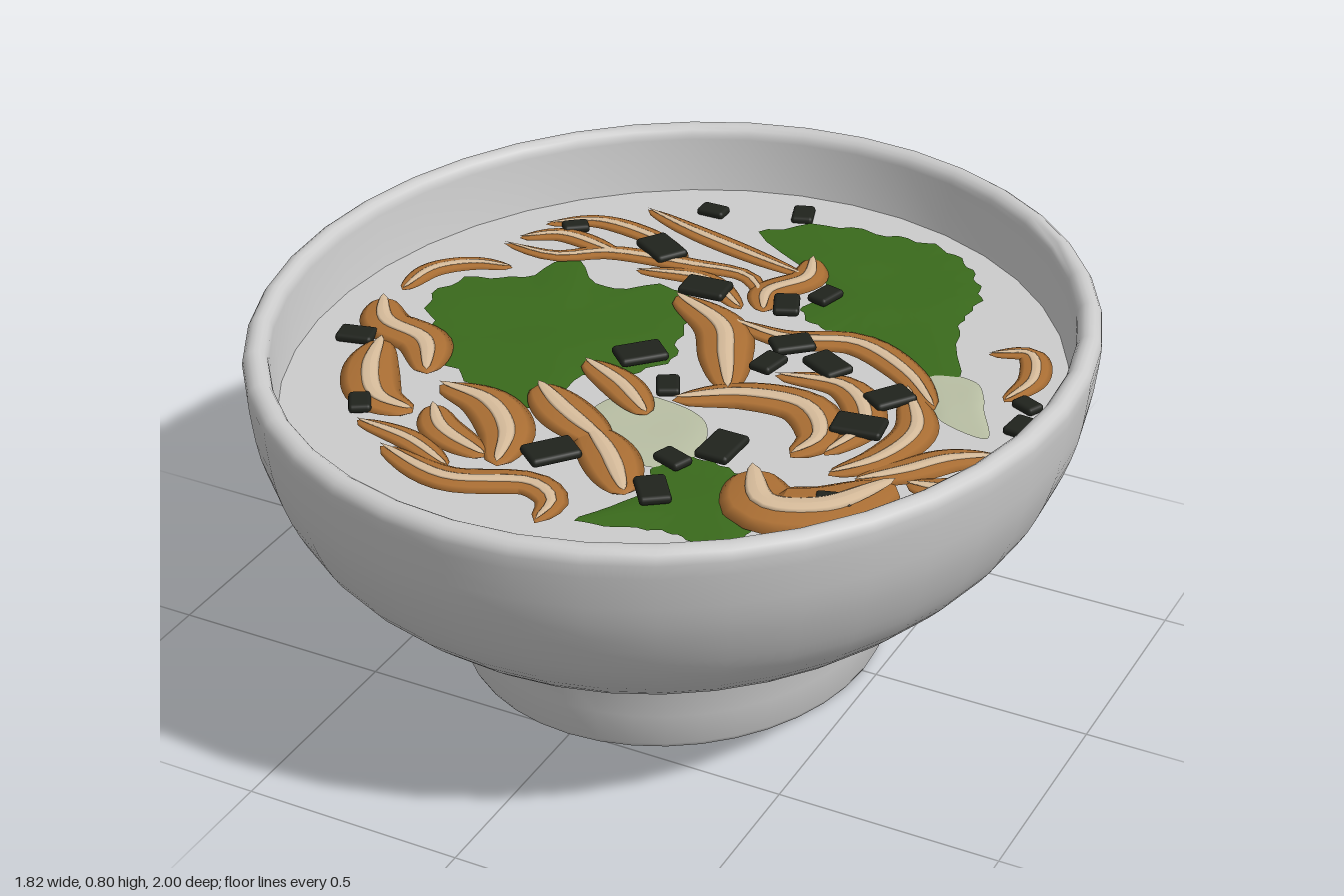
import * as THREE from 'three';
import { toCreasedNormals } from 'three/addons/utils/BufferGeometryUtils.js';
import { RoundedBoxGeometry } from 'three/addons/geometries/RoundedBoxGeometry.js';

const SOUP_Y = 0.64;
const OVAL = 0.908; // the bowl is slightly narrower in x than in z

const mat = (color, side = THREE.FrontSide) => new THREE.MeshStandardMaterial({ color, side });

function named(name, geometry, material) {
  const mesh = new THREE.Mesh(geometry, material);
  mesh.name = name;
  return mesh;
}

function group(name, parent) {
  const g = new THREE.Group();
  g.name = name;
  parent.add(g);
  return g;
}

// Flat tapered strip floating on the broth, along x, z pairs
function strip(coords, radius, lift) {
  const points = [];
  for (let i = 0; i < coords.length; i += 2) {
    points.push(new THREE.Vector3(coords[i], SOUP_Y + lift, coords[i + 1]));
  }
  const path = new THREE.CatmullRomCurve3(points);
  const segs = 20, sides = 8;
  const geo = new THREE.TubeGeometry(path, segs, 1, sides, false);
  const pos = geo.attributes.position;
  const v = new THREE.Vector3();
  for (let k = 0; k < pos.count; k++) {
    const t = Math.floor(k / (sides + 1)) / segs;
    const c = path.getPointAt(t);
    const r = radius * Math.pow(Math.sin(Math.PI * t), 0.45);
    v.fromBufferAttribute(pos, k).sub(c).multiplyScalar(r);
    pos.setXYZ(k, c.x + v.x, c.y + v.y * 0.2, c.z + v.z);
  }
  geo.computeVertexNormals();
  return geo;
}

// Thin leaf: outline radii at even angles round a centre, filled by shrinking rings
function leaf(cx, cz, height, frill, radii) {
  const curve = new THREE.CatmullRomCurve3(radii.map((r, i) => {
    const a = i / radii.length * Math.PI * 2;
    return new THREE.Vector3(r * Math.cos(a), 0, r * Math.sin(a));
  }), true);
  const around = 80, rings = 8;
  const pos = [], idx = [];
  for (let i = 0; i <= rings; i++) {
    const t = 1 - i / rings;
    for (let j = 0; j < around; j++) {
      const p = curve.getPoint(j / around);
      const s = t * (1 + frill * t * Math.sin(j * 1.7));
      const x = cx + p.x * s, z = cz + p.z * s;
      const wave = 0.002 * Math.sin(17 * x + 5 * z) * Math.cos(15 * z);
      pos.push(x, SOUP_Y + 0.003 + height * (1 - t ** 4) + wave * (1 - t ** 6), z);
    }
  }
  for (let i = 0; i < rings; i++) {
    for (let j = 0; j < around; j++) {
      const a = i * around + j, b = i * around + (j + 1) % around;
      idx.push(a, a + around, b, b, a + around, b + around);
    }
  }
  const geo = new THREE.BufferGeometry();
  geo.setAttribute('position', new THREE.Float32BufferAttribute(pos, 3));
  geo.setIndex(idx);
  geo.computeVertexNormals();
  return geo;
}

// Bowl section: recessed base, rounded foot ring, full wall, round rim, inner wall
function bowlProfile() {
  const vec = ([r, y]) => new THREE.Vector2(r, y);
  const foot = [[0, 0.04], [0.43, 0.04], [0.433, 0.014], [0.445, 0.004], [0.465, 0], [0.5, 0], [0.516, 0.004],
    [0.522, 0.015], [0.528, 0.09], [0.54, 0.17]].map(vec);
  const wall = new THREE.SplineCurve([[0.547, 0.2], [0.565, 0.225], [0.61, 0.238], [0.68, 0.262], [0.76, 0.308],
    [0.875, 0.41], [0.935, 0.5], [0.98, 0.62], [0.998, 0.74]].map(vec)).getPoints(24);
  const rim = [];
  for (let i = 0; i <= 8; i++) {
    const a = i / 8 * Math.PI;
    rim.push(new THREE.Vector2(0.97 + 0.03 * Math.cos(a), 0.77 + 0.03 * Math.sin(a)));
  }
  return [...foot, ...wall, ...rim, vec([0.93, SOUP_Y]), vec([0.915, SOUP_Y - 0.04])];
}

export function createModel() {
  const model = new THREE.Group();
  const grey = mat(0xcccccc);

  const bowl = named('bowl', toCreasedNormals(new THREE.LatheGeometry(bowlProfile(), 40), 1.2), grey);
  bowl.scale.x = OVAL;
  const broth = named('broth', new THREE.CircleGeometry(0.93, 40).rotateX(-Math.PI / 2), grey);
  broth.scale.x = OVAL;
  broth.position.y = SOUP_Y;
  model.add(bowl, broth);

  // Leafy greens and their pale stalks
  const green = mat(0x3a6a1c, THREE.DoubleSide);
  const pale = mat(0xb9bfa4, THREE.DoubleSide);
  group('leaves', model).add(
    named('backLeaf', leaf(0.26, -0.53, 0.005, 0.03,
      [0.2, 0.24, 0.42, 0.24, 0.2, 0.21, 0.2, 0.14, 0.15, 0.42, 0.38, 0.31, 0.29, 0.26, 0.23, 0.22]), green),
    named('sideLeaf', leaf(-0.33, -0.05, 0.005, 0.03,
      [0.29, 0.26, 0.22, 0.34, 0.32, 0.28, 0.31, 0.28, 0.33, 0.33, 0.27, 0.35, 0.23, 0.33, 0.33, 0.28]), green),
    named('frontLeaf', leaf(0.28, 0.45, 0.005, 0.03,
      [0.14, 0.16, 0.21, 0.16, 0.14, 0.17, 0.26, 0.13, 0.12, 0.15, 0.19, 0.16, 0.14, 0.13, 0.15, 0.13]), green),
    named('frontStalk', leaf(0.06, 0.24, 0.004, 0, [0.13, 0.17, 0.14, 0.13, 0.15, 0.16, 0.12, 0.12]), pale),
    named('backStalk', leaf(0.6, -0.16, 0.004, 0, [0.06, 0.16, 0.09, 0.06, 0.07, 0.14, 0.1, 0.06]), pale));

  // Brown strips by width, each with a pale streak along its crest
  const brown = mat(0xab6f34);
  const streak = mat(0xd8bd9c);
  const strips = group('strips', model);
  const addStrips = (radius, lines) => {
    for (const line of lines) {
      strips.add(named('strip', strip(line, radius, 0.008), brown));
      strips.add(named('streak', strip(line, radius * 0.3, 0.008 + radius * 0.17), streak));
    }
  };
  addStrips(0.036, [
    [-0.42, -0.67, -0.28, -0.62, -0.1, -0.57, 0.06, -0.53],
    [-0.6, -0.49, -0.5, -0.56, -0.36, -0.55, -0.22, -0.49],
    [-0.64, -0.36, -0.5, -0.36, -0.4, -0.43, -0.2, -0.46, -0.06, -0.47, 0.03, -0.38],
    [-0.62, -0.4, -0.54, -0.46, -0.36, -0.43],
    [-0.3, -0.38, -0.14, -0.41, 0, -0.32],
    [-0.73, -0.05, -0.72, -0.17, -0.65, -0.24, -0.56, -0.26],
    [0.58, -0.38, 0.66, -0.42, 0.71, -0.32, 0.69, -0.2],
    [-0.51, 0.5, -0.37, 0.52, -0.24, 0.58],
  ]);
  addStrips(0.05, [
    [0.04, -0.62, 0.07, -0.52, 0.02, -0.42, 0.05, -0.33],
    [0, -0.26, 0.15, -0.24, 0.3, -0.29, 0.45, -0.22, 0.57, -0.1],
    [0.2, -0.08, 0.36, -0.1, 0.46, 0.02, 0.44, 0.18],
    [0.48, -0.16, 0.57, 0, 0.55, 0.14, 0.48, 0.25],
    [0.77, 0.02, 0.68, 0.08, 0.62, 0.16, 0.54, 0.25],
    [0.77, 0.08, 0.74, 0.18, 0.64, 0.21],
    [-0.4, 0.37, -0.33, 0.45, -0.19, 0.51],
    [-0.41, 0.57, -0.22, 0.62, -0.05, 0.56, 0.02, 0.6, 0.03, 0.69],
    [-0.2, 0.05, -0.08, 0.11, 0.03, 0.2],
  ]);
  addStrips(0.066, [
    [-0.16, -0.31, 0, -0.22, 0.07, -0.1, 0.14, 0.03],
    [0.05, 0.12, 0.18, 0.03, 0.32, 0.02, 0.4, 0.12, 0.38, 0.22],
    [-0.75, 0, -0.68, 0.1, -0.56, 0.14, -0.48, 0.26],
    [-0.65, 0.17, -0.6, 0.3, -0.52, 0.4, -0.42, 0.42],
    [-0.43, 0.29, -0.3, 0.31, -0.2, 0.4, -0.15, 0.53],
    [-0.24, 0.19, -0.13, 0.27, 0.01, 0.35],
    [-0.06, 0.3, 0.04, 0.39, 0.14, 0.51],
  ]);
  addStrips(0.1, [[0.33, 0.3, 0.42, 0.42, 0.53, 0.38, 0.62, 0.22]]);

  // Small dark flat chunks at x, z
  const dark = mat(0x20231d);
  const chunks = group('chunks', model);
  [[-0.28, -0.74], [-0.08, -0.82], [-0.53, -0.51], [-0.29, -0.49], [0.15, -0.45], [-0.11, -0.36], [0.09, -0.37],
    [0.18, -0.21], [0.29, -0.16], [0.17, -0.11], [0.46, 0.05], [0.02, 0.08], [-0.1, -0.02], [0.74, -0.21],
    [0.76, -0.12], [-0.71, 0.18], [-0.54, 0.44], [-0.07, 0.44], [0.17, 0.35], [0.24, 0.26], [0.54, 0.35],
    [0.19, 0.48], [0.47, -0.09],
  ].forEach(([x, z], i) => {
    const edge = THREE.MathUtils.smoothstep(Math.hypot(x, z), 0.6, 0.85);
    const size = 0.095 + 0.02 * Math.sin(i * 2.7) - 0.03 * edge;
    const chunk = named('chunk', new RoundedBoxGeometry(size, 0.02, size * 0.7, 2, 0.009), dark);
    chunk.position.set(x, SOUP_Y + 0.018 - 0.014 * edge, z);
    chunk.rotation.y = i * 1.9;
    chunks.add(chunk);
  });

  return model;
}
